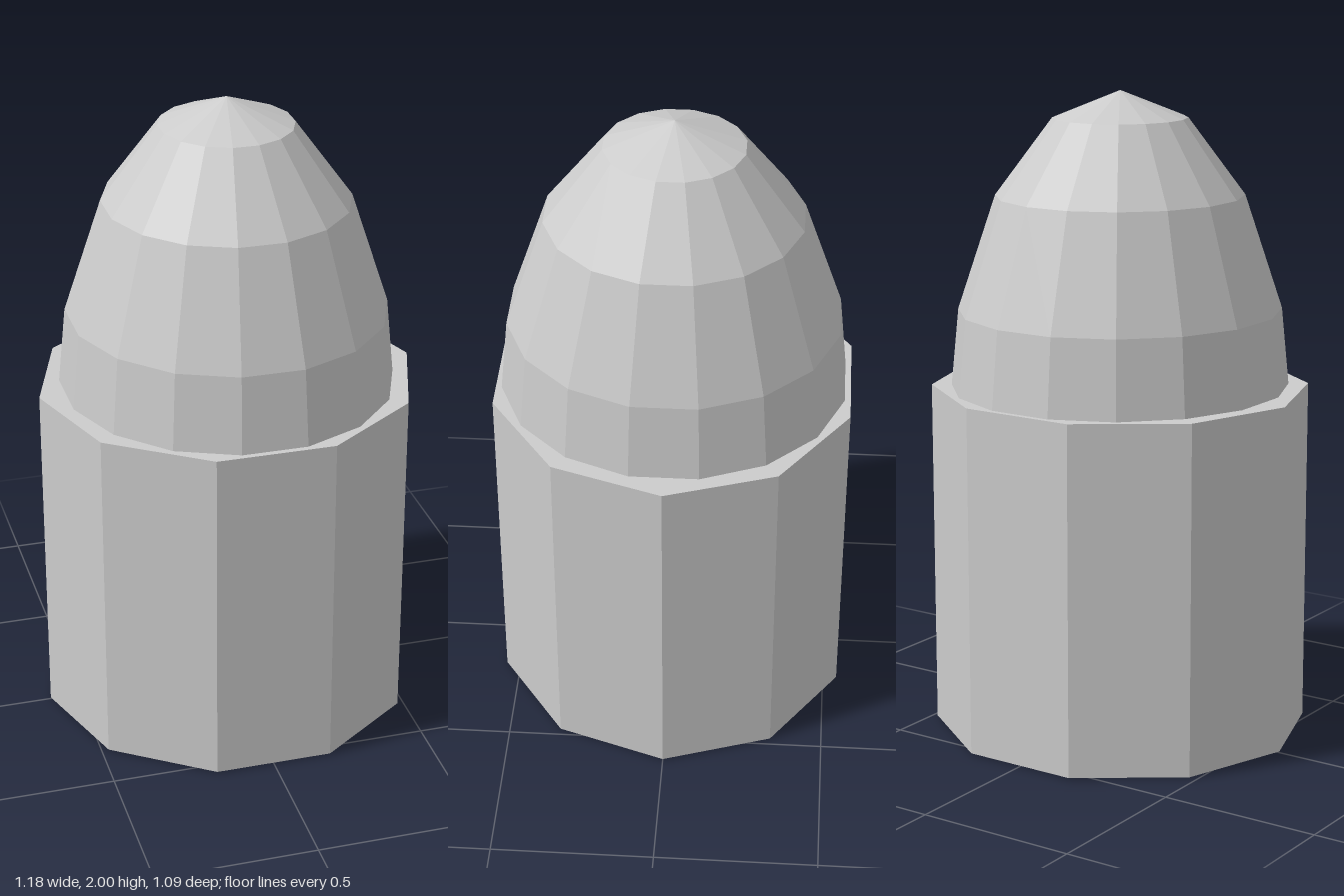
import * as THREE from 'three';

export function createModel() {
  const group = new THREE.Group();
  const material = new THREE.MeshStandardMaterial({ color: 0xcccccc, flatShading: true });
  const add = (name, geometry) => {
    const mesh = new THREE.Mesh(geometry, material);
    mesh.name = name;
    group.add(mesh);
  };

  // Ten-sided casing with a corner on each side, slightly flattened in z
  const base = 0.004, top = 1.09;
  add('casing', new THREE.CylinderGeometry(0.592, 0.592, top - base, 10, 1, false, Math.PI / 2)
    .scale(1, 1, 0.968)
    .translate(0, (top + base) / 2, 0));

  // Faceted half-ellipsoid nose, seated inside the casing
  const noseHeight = 1.086;
  add('nose', new THREE.SphereGeometry(1, 16, 4, Math.PI / 16, Math.PI * 2, 0, Math.PI / 2)
    .scale(0.535, noseHeight, 0.555)
    .translate(0, 2 - noseHeight, 0));

  // Almost flush disc in the underside
  add('baseDisc', new THREE.CylinderGeometry(0.25, 0.25, 0.02, 16).translate(0, 0.01, 0));

  return group;
}
